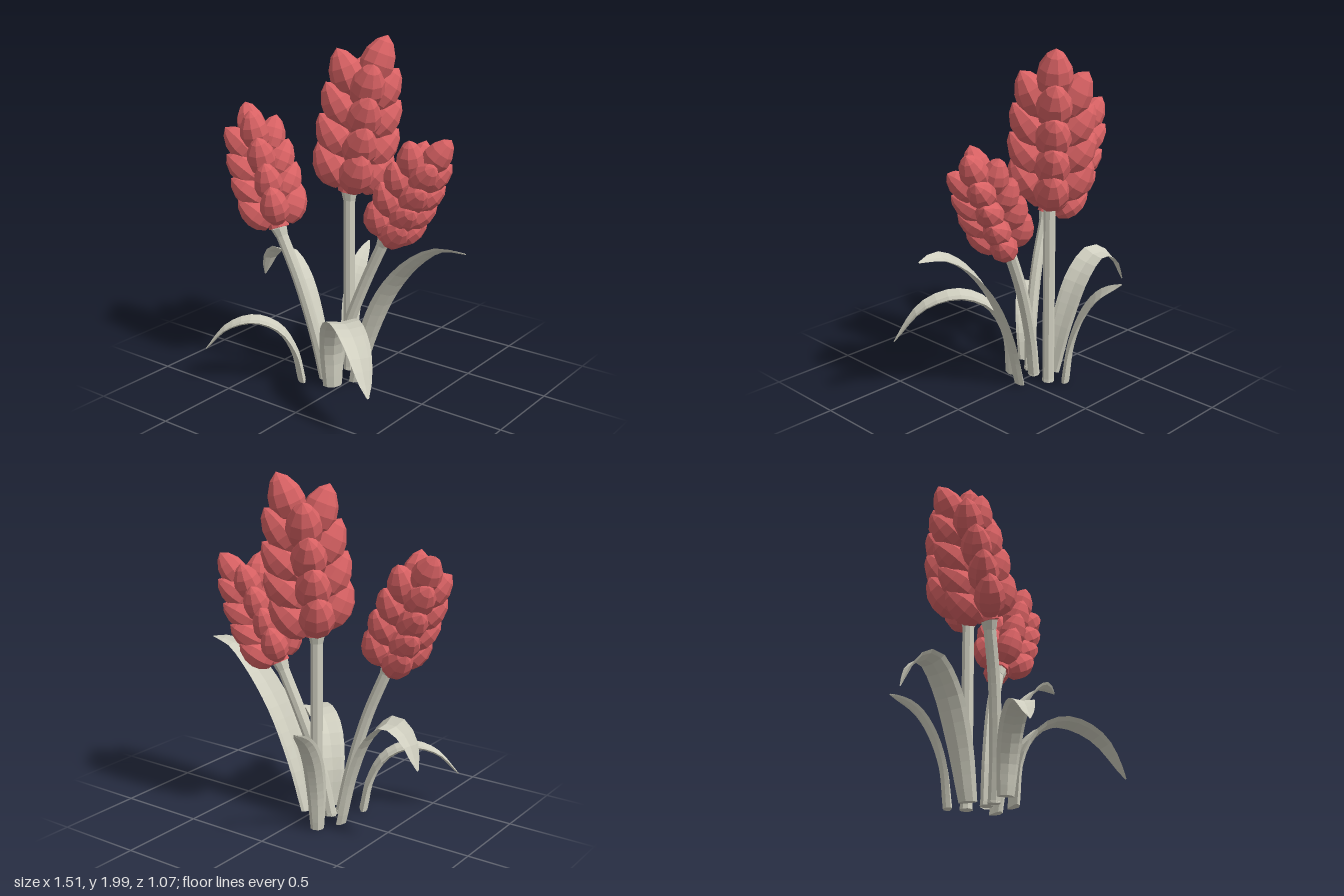
import * as THREE from 'three';

const red = new THREE.MeshStandardMaterial({ color: 0xd96264, flatShading: true });
red.name = 'petal red';
const grey = new THREE.MeshStandardMaterial({ color: 0xd0cfc0, flatShading: true, side: THREE.DoubleSide });
grey.name = 'pale stem grey';

const v = (p) => new THREE.Vector3(...p);
const UP = new THREE.Vector3(0, 1, 0);

// One egg-shaped bud, growing along +y from the origin
const budGeometry = new THREE.LatheGeometry(
  [[0, 0], [0.05, 0.008], [0.088, 0.06], [0.1, 0.12], [0.088, 0.185], [0.05, 0.25], [0, 0.288]]
    .map(([x, y]) => new THREE.Vector2(x, y)), 9);

function addBud(head, angle, radius, y, tilt, spin) {
  const bud = new THREE.Mesh(budGeometry, red);
  bud.name = 'bud';
  const out = new THREE.Vector3(Math.cos(angle), 0, Math.sin(angle));
  bud.position.copy(out).multiplyScalar(radius).setY(y);
  const dir = out.multiplyScalar(Math.sin(tilt)).addScaledVector(UP, Math.cos(tilt));
  bud.quaternion.setFromUnitVectors(UP, dir);
  bud.rotateY(spin);
  head.add(bud);
}

// Flower head: four columns of overlapping buds and one crowning bud
const columnStart = [0.03, 0.045, 0.055, 0.045];
const columnStep = [0.155, 0.158, 0.17, 0.158];
const levelTilt = [0.62, 0.68, 0.64, 0.5];

function flowerHead(tipAngle) {
  const head = new THREE.Group();
  head.name = 'flowerHead';
  for (let col = 0; col < 4; col++) {
    for (let level = 0; level < 4; level++) {
      addBud(head, tipAngle + col * Math.PI / 2, 0.052 - level * 0.003,
        columnStart[col] + level * columnStep[col], levelTilt[level], col * 1.7 + level * 0.9);
    }
  }
  addBud(head, tipAngle, 0.03, 0.64, 0.22, 0.4);
  const core = new THREE.Mesh(new THREE.CylinderGeometry(0.05, 0.07, 0.7, 8), red);
  core.name = 'flowerCore';
  core.position.y = 0.37;
  head.add(core);
  return head;
}

// Stem with a collar at the top and a flat foot, carrying a flower head
function flower(name, path, axis, scale, tipAngle) {
  const group = new THREE.Group();
  group.name = name;
  const points = path.map(v);
  const top = points[points.length - 1];
  const curve = new THREE.CatmullRomCurve3(points);
  const stem = new THREE.Mesh(new THREE.TubeGeometry(curve, 12, 0.034, 8), grey);
  stem.name = 'stem';
  const foot = new THREE.Mesh(new THREE.CylinderGeometry(0.034, 0.036, 0.02, 8), grey);
  foot.name = 'stemFoot';
  foot.position.copy(points[0]).setY(0.01);
  const collar = new THREE.Mesh(new THREE.CylinderGeometry(0.046, 0.036, 0.05, 8), grey);
  collar.name = 'stemCollar';
  collar.position.copy(top).addScaledVector(curve.getTangent(1), -0.005);
  collar.quaternion.setFromUnitVectors(UP, curve.getTangent(1));
  const head = flowerHead(tipAngle);
  head.position.copy(top);
  head.quaternion.setFromUnitVectors(UP, v(axis).normalize());
  head.scale.setScalar(scale);
  group.add(stem, foot, collar, head);
  return group;
}

// Arching leaf: a shallow channel section, rolled about its path and swept to a point
function leaf(name, path, width, roll = 0) {
  const curve = new THREE.CatmullRomCurve3(path.map(v));
  const out = curve.getPoint(1).sub(curve.getPoint(0)).setY(0).normalize();
  const across = new THREE.Vector3().crossVectors(UP, out);
  const rings = 16, sides = 8;
  const positions = [], index = [];
  for (let i = 0; i <= rings; i++) {
    const t = i / rings;
    const centre = curve.getPointAt(t);
    const T = curve.getTangentAt(t);
    const W = across.clone().addScaledVector(T, -across.dot(T)).normalize().applyAxisAngle(T, roll);
    const N = new THREE.Vector3().crossVectors(T, W);
    const half = width / 2 * (t < 0.5
      ? 0.66 + 0.34 * Math.sin(t * Math.PI)
      : Math.max(0.02, 1 - ((t - 0.5) / 0.5) ** 2.2) ** 0.68);
    const thick = 0.02 * (1 - t) ** 1.2 + 0.003;
    const lift = 0.26 * half;
    for (let j = 0; j < sides; j++) {
      const a = j / sides * Math.PI * 2;
      const c = Math.cos(a);
      const p = centre.clone().addScaledVector(W, c * half)
        .addScaledVector(N, Math.sin(a) * thick + (c * c - 0.4) * lift);
      positions.push(p.x, i === 0 ? 0 : Math.max(0, p.y), p.z);
    }
  }
  for (let j = 0; j < sides; j++) {
    const k = (j + 1) % sides;
    for (let i = 0; i < rings; i++) {
      const a = i * sides, b = a + sides;
      index.push(a + j, a + k, b + k, a + j, b + k, b + j);
    }
    if (j > 0 && j < sides - 1) index.push(0, j + 1, j);
  }
  const geometry = new THREE.BufferGeometry();
  geometry.setAttribute('position', new THREE.Float32BufferAttribute(positions, 3));
  geometry.setIndex(index);
  geometry.computeVertexNormals();
  const mesh = new THREE.Mesh(geometry, grey);
  mesh.name = name;
  return mesh;
}

export function createModel() {
  const model = new THREE.Group();
  model.name = 'floweringPlant';

  // Three flowers; the last number is the direction of the crowning bud
  model.add(
    flower('middleFlower', [[-0.1, 0, -0.125], [-0.1, 0.5, -0.125], [-0.1, 1.08, -0.125]],
      [0.075, 0.9, -0.1], 1, -Math.PI / 4),
    flower('rightFlower', [[-0.14, 0, 0.06], [-0.18, 0.25, 0.09], [-0.27, 0.6, 0.13], [-0.38, 0.885, 0.16]],
      [-0.27, 0.64, -0.06], 0.84, -Math.PI * 0.75),
    flower('leftFlower', [[-0.11, 0, 0], [-0.06, 0.25, -0.02], [0.06, 0.6, -0.06], [0.178, 0.87, -0.08]],
      [0.29, 0.56, -0.02], 0.78, -Math.PI / 4));

  // Five leaves around the base
  model.add(
    leaf('leftLeaf', [[0.035, 0, -0.02], [0.11, 0.28, -0.02], [0.25, 0.59, -0.015], [0.43, 0.81, -0.01],
      [0.6, 0.92, 0], [0.75, 0.93, 0]], 0.155, -0.38),
    leaf('frontLeftLeaf', [[-0.035, 0, 0.12], [-0.02, 0.25, 0.14], [0.06, 0.43, 0.21], [0.2, 0.5, 0.31],
      [0.37, 0.44, 0.43], [0.51, 0.24, 0.53]], 0.17),
    leaf('frontRightLeaf', [[-0.22, 0, 0.17], [-0.25, 0.19, 0.2], [-0.32, 0.33, 0.26], [-0.43, 0.385, 0.35],
      [-0.55, 0.34, 0.44], [-0.65, 0.21, 0.52]], 0.135),
    leaf('backRightLeaf', [[-0.22, 0, -0.05], [-0.3, 0.3, -0.06], [-0.42, 0.56, -0.075], [-0.55, 0.67, -0.09],
      [-0.67, 0.62, -0.11], [-0.755, 0.46, -0.13]], 0.155, 0.3),
    leaf('backLeaf', [[-0.16, 0, -0.2], [-0.175, 0.24, -0.23], [-0.2, 0.44, -0.3], [-0.22, 0.57, -0.39],
      [-0.25, 0.67, -0.53]], 0.115, 0.5));
  return model;
}
